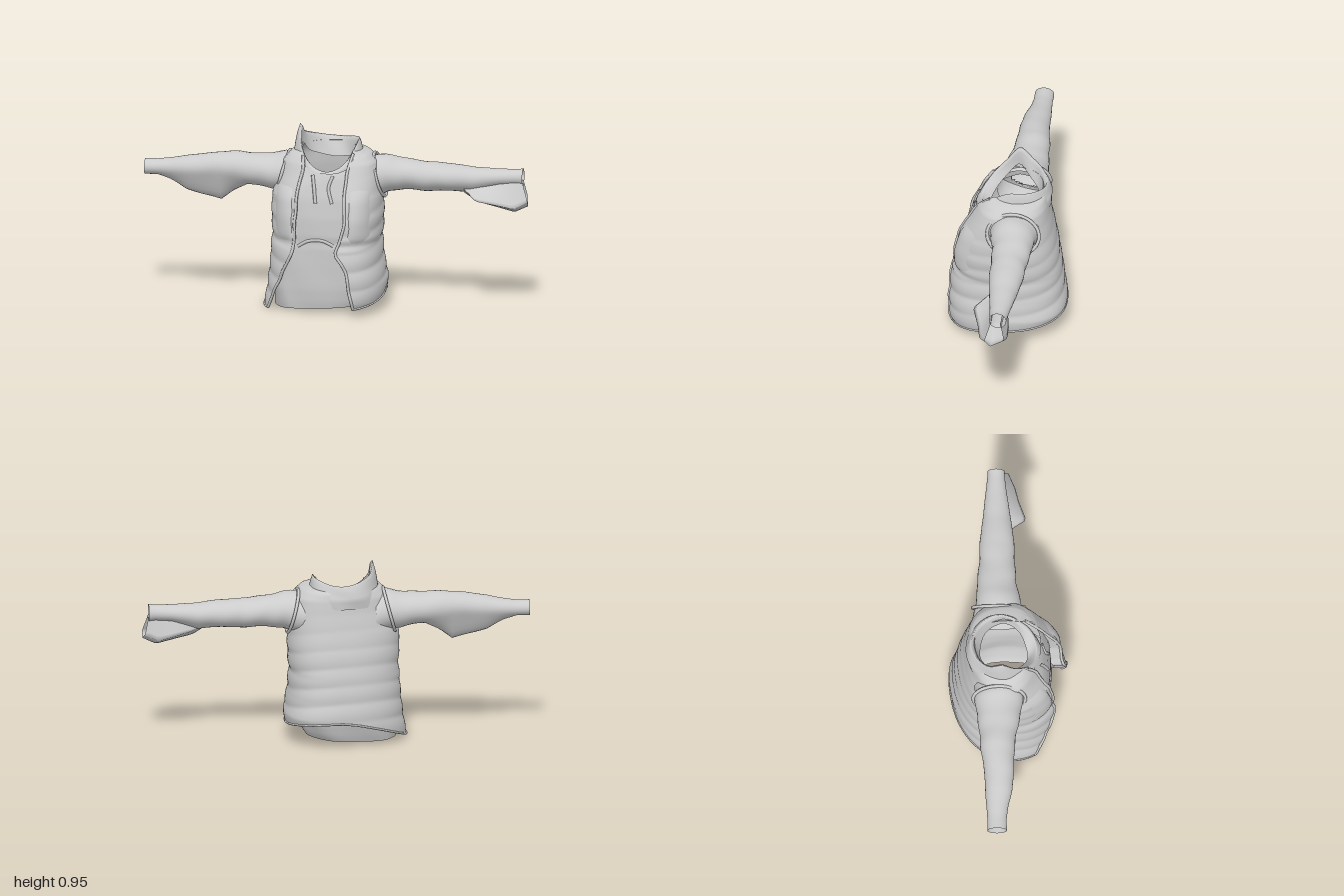
import * as THREE from 'three';
import { mergeVertices } from 'three/addons/utils/BufferGeometryUtils.js';

const mat = new THREE.MeshStandardMaterial({ color: 0xcccccc, side: THREE.DoubleSide });
const TAU = Math.PI * 2, EXP = 2.4;
const lerp = THREE.MathUtils.lerp;
const bump = (t, c, w) => Math.exp(-(((t - c) / w) ** 2));

// Linear lookup in a table whose rows begin with the key
function sample(table, key) {
  const last = table.length - 1;
  if (key <= table[0][0]) return table[0].slice(1);
  for (let i = 0; i < last; i++) {
    const a = table[i], b = table[i + 1];
    if (key <= b[0]) return a.slice(1).map((v, k) => lerp(v, b[k + 1], (key - a[0]) / (b[0] - a[0])));
  }
  return table[last].slice(1);
}

// Grid surface from a rule fn(u, v) -> [x, y, z]; cells whose centre passes "hole" are left out
function surface(name, fn, nu, nv, hole = () => false) {
  const pos = [], idx = [];
  for (let j = 0; j <= nv; j++) for (let i = 0; i <= nu; i++) pos.push(...fn(i / nu, j / nv));
  for (let j = 0; j < nv; j++) for (let i = 0; i < nu; i++) {
    if (hole(...fn((i + 0.5) / nu, (j + 0.5) / nv))) continue;
    const a = j * (nu + 1) + i, b = a + nu + 1;
    idx.push(a, a + 1, b, a + 1, b + 1, b);
  }
  let g = new THREE.BufferGeometry();
  g.setAttribute('position', new THREE.Float32BufferAttribute(pos, 3));
  g.setIndex(idx);
  g = mergeVertices(g, 1e-4);
  g.computeVertexNormals();
  const m = new THREE.Mesh(g, mat);
  m.name = name;
  return m;
}

function cord(name, points, r, closed = false) {
  const curve = new THREE.CatmullRomCurve3(points.map(p => new THREE.Vector3(...p)), closed);
  const m = new THREE.Mesh(new THREE.TubeGeometry(curve, 40, r, 6, closed), mat);
  m.name = name;
  return m;
}

// Body outline by height: y, right, left, back, front
const body = [
  [0.0, -0.37, 0.24, -0.275, 0.295], [0.06, -0.358, 0.262, -0.29, 0.305], [0.15, -0.345, 0.268, -0.3, 0.305],
  [0.25, -0.335, 0.25, -0.285, 0.3], [0.34, -0.33, 0.243, -0.275, 0.29], [0.37, -0.325, 0.24, -0.27, 0.27],
  [0.4, -0.325, 0.245, -0.265, 0.28], [0.5, -0.33, 0.25, -0.25, 0.27], [0.6, -0.325, 0.245, -0.23, 0.245],
  [0.7, -0.29, 0.235, -0.21, 0.19], [0.77, -0.27, 0.22, -0.2, 0.155], [0.81, -0.23, 0.18, -0.19, 0.125],
  [0.83, -0.17, 0.1, -0.17, 0.11],
];

// Point on the body; angle 0 is the front, a quarter turn is its left
function bodyPoint(a, y, scale = 1) {
  const [x0, x1, z0, z1] = sample(body, y);
  const s = Math.sin(a), c = Math.cos(a), p = 2 / EXP;
  const x = (x0 + x1) / 2 + (x1 - x0) / 2 * scale * Math.sign(s) * Math.abs(s) ** p;
  const z = (c > 0 ? z1 : -z0) * scale * Math.sign(c) * Math.abs(c) ** p;
  return [x, y, z * (1 + 0.5 * (x + 0.03))];
}

function angleAt(x, y) {
  const [x0, x1] = sample(body, y);
  const s = THREE.MathUtils.clamp((2 * x - x0 - x1) / (x1 - x0), -0.97, 0.97);
  return Math.asin(Math.sign(s) * Math.abs(s) ** (EXP / 2));
}

// The sweater follows the body but is flatter in front
function sweaterPoint(a, y, extra = 0) {
  const k = sample([[0, 0.74], [0.04, 0.78], [0.12, 0.84], [0.33, 0.9], [0.38, 0.94], [0.5, 0.96], [0.82, 0.96]], y)[0];
  const p = bodyPoint(a, y, k + extra);
  if (p[2] > 0.18) p[2] = 0.18 + (p[2] - 0.18) * 0.5;
  return p;
}

// Arm openings in the vest and sweater
const armOpening = (x, y, z) => (x > 0.15 || x < -0.19) && Math.hypot(y - 0.685, z + 0.05) < 0.08;

// Front opening of the vest: y, right edge, left edge
const opening = [
  [0, -0.34, 0.13], [0.12, -0.295, 0.11], [0.25, -0.24, 0.09], [0.36, -0.19, 0.03],
  [0.39, -0.185, 0.05], [0.5, -0.185, 0.08], [0.65, -0.17, 0.075], [0.76, -0.15, 0.08], [0.83, -0.12, 0.07],
];

function vestPoint(u, v) {
  const guess = lerp(0.03, 0.83, v);
  const [r, l] = sample(opening, guess);
  const a = lerp(angleAt(l, guess), TAU + angleAt(r, guess), u);
  const c = Math.cos(a), s = Math.sin(a);
  // the hem rises to the back and hangs low on the right
  const hem = Math.max(0.004, 0.085 - 0.055 * c - 0.08 * Math.max(0, -s));
  const y = lerp(hem, 0.83 - 0.05 * Math.max(0, c) ** 4, v);
  // tilted quilted rows that fade out toward the shoulders
  const quilt = 0.02 * (Math.abs(Math.sin((y + 0.05 * c) * Math.PI / 0.095 + 0.5 * s)) - 0.6);
  return bodyPoint(a, y, 1 + quilt * THREE.MathUtils.clamp((0.75 - y) * 3, 0, 1));
}

// Sleeve rings: x, low y, high y, back z, front z, sag of the loose cloth below
const leftRings = [
  [0.15, 0.55, 0.785, -0.175, 0.09, 0], [0.2, 0.57, 0.79, -0.175, 0.085, 0], [0.28, 0.6, 0.785, -0.16, 0.065, 0],
  [0.36, 0.615, 0.77, -0.155, 0.045, 0.005], [0.48, 0.61, 0.755, -0.145, 0.04, 0.005], [0.6, 0.615, 0.75, -0.14, 0.035, 0.005],
  [0.72, 0.62, 0.735, -0.125, 0.02, 0.02], [0.85, 0.645, 0.73, -0.11, 0.0, 0], [0.94, 0.65, 0.73, -0.1, -0.01, 0],
  [0.97, 0.645, 0.735, -0.1, -0.01, 0],
];
const rightRings = [
  [0.2, 0.55, 0.785, -0.175, 0.09, 0], [0.27, 0.58, 0.79, -0.175, 0.08, 0], [0.36, 0.6, 0.775, -0.16, 0.065, 0],
  [0.46, 0.615, 0.775, -0.15, 0.045, 0], [0.54, 0.62, 0.78, -0.145, 0.035, 0.05], [0.6, 0.63, 0.775, -0.135, 0.03, 0.105],
  [0.68, 0.63, 0.765, -0.125, 0.03, 0.085], [0.78, 0.63, 0.75, -0.12, 0.02, 0.06], [0.86, 0.64, 0.735, -0.115, 0.0, 0.02],
  [0.93, 0.645, 0.725, -0.11, -0.01, 0], [1.0, 0.645, 0.725, -0.11, -0.01, 0],
];

function sleeve(name, rings, side) {
  const x0 = rings[0][0], x1 = rings[rings.length - 1][0];
  return surface(name, (u, v) => {
    const x = lerp(x0, x1, v), a = -side * u * TAU;
    const [lo, hi, zb, zf, sag] = sample(rings, x);
    // slanting wrinkles in the cloth
    const w = 1 + (0.025 * Math.sin(x * 48 + 2 * Math.sin(a)) + 0.02 * Math.sin(x * 29 + 3 * Math.cos(a))) * (1 - v);
    const drop = sag * Math.max(0, -Math.sin(a)) ** 4;
    return [side * x, (lo + hi) / 2 + (hi - lo) / 2 * w * Math.sin(a) - drop,
      (zb + zf) / 2 + (zf - zb) / 2 * w * Math.cos(a)];
  }, 28, 48);
}

// Soft shoulder edge of the vest around each sleeve
function armhole(name, x, side) {
  return cord(name, Array.from({ length: 24 }, (_, i) => {
    const a = i / 24 * TAU, s = Math.sin(a);
    return [side * (x - 0.03 * s), 0.685 + 0.11 * s, -0.045 + 0.135 * Math.cos(a)];
  }), 0.009, true);
}

// Hood: rises outside to a rim that dips at the front, then folds down into the neck
function hoodPoint(u, v) {
  const a = u * TAU, s = Math.sin(a), c = Math.cos(a), f = Math.max(0, c), b = Math.max(0, -c);
  const rim = 0.85 + 0.035 * s * s - 0.01 * s - 0.115 * f ** 1.4 + 0.05 * bump(u, 0.74, 0.045);
  const base = 0.74 - 0.06 * f;
  const rows = [[0, base - 0.01, 1.35 - 0.2 * f - 0.2 * b], [0.2, lerp(base, rim, 0.35), 1.18 - 0.04 * f],
    [0.45, lerp(base, rim, 0.8), 1.07], [0.55, rim, 1], [0.65, rim - 0.012, 0.93],
    [1, rim - 0.04 - 0.06 * (1 - f), 0.92 - 0.2 * f - 0.2 * b]];
  const [y, k] = sample(rows, v);
  const r = k + 0.015 * Math.sin(5 * a + v * 9);
  return [-0.035 + 0.155 * r * s, y, -0.025 + (c > 0 ? 0.175 : 0.165) * r * c];
}

export function createModel() {
  const g = new THREE.Group();
  g.name = 'layeredJacket';

  // Inner sweater with an open hem and a low front neckline
  g.add(surface('innerSweater', (u, v) => {
    const a = u * TAU, y = lerp(0.02 + 0.015 * Math.sin(a), 0.82 - 0.09 * Math.max(0, Math.cos(a)) ** 4, v);
    const p = sweaterPoint(a, y, 0.008 * Math.sin(7 * a + y * 18));
    p[0] -= 0.02 * (1 - v);
    return p;
  }, 64, 48, armOpening));

  // Sweater front pocket seam
  const onSweater = (x, y) => sweaterPoint(angleAt(x, y), y);
  g.add(cord('pocketSeam', [[-0.18, 0.35], [-0.12, 0.38], [-0.04, 0.385], [0.02, 0.36]].map(p => onSweater(...p)), 0.009));

  // Quilted vest, open at the front
  g.add(surface('quiltedVest', vestPoint, 80, 80, armOpening));
  const edge = u => Array.from({ length: 16 }, (_, i) => vestPoint(u, i / 15));
  g.add(cord('vestLeftEdge', edge(0), 0.008), cord('vestRightEdge', edge(1), 0.008));
  g.add(cord('vestHem', Array.from({ length: 25 }, (_, i) => vestPoint(i / 24, 0)), 0.006));

  // The vest fronts fold back toward the sweater along the opening
  for (const [name, u] of [['leftFacing', 0], ['rightFacing', 1]]) {
    g.add(surface(name, (s, v) => {
      const [x, y, z] = vestPoint(u, v);
      return [x, y, z - 0.06 * s];
    }, 4, 40));
  }

  // Chest flaps lying on both vest fronts
  for (const [name, x0, x1] of [['leftChestFlap', 0.1, 0.21], ['rightChestFlap', -0.3, -0.2]]) {
    g.add(surface(name, (u, v) => {
      const y = lerp(0.37, 0.66, v), puff = Math.sin(u * Math.PI) * Math.sin(v * Math.PI);
      const p = bodyPoint(angleAt(lerp(x0, x1, u), y), y, 0.99);
      p[2] += 0.02 * Math.sqrt(Math.max(0, puff));
      return p;
    }, 10, 14));
  }

  // Sleeves and shoulder edges
  g.add(sleeve('leftSleeve', leftRings, 1), sleeve('rightSleeve', rightRings, -1));
  g.add(armhole('leftArmhole', 0.225, 1), armhole('rightArmhole', 0.275, -1));

  // Loose cuff hanging under the left sleeve: x, top y, low y, front z, back z
  const cuff = [[0.67, 0.63, 0.605, 0.02, -0.06], [0.74, 0.65, 0.56, 0.1, -0.08], [0.86, 0.665, 0.53, 0.06, -0.1],
    [0.93, 0.675, 0.512, 0.045, -0.1], [1.0, 0.67, 0.545, 0.01, -0.09]];
  g.add(surface('looseCuff', (u, v) => {
    const x = lerp(0.67, 1, v);
    const [top, low, zf, zb] = sample(cuff, x);
    const [y, z, dx] = sample([[0, top, -0.02, 0.03], [0.35, low + 0.03, zf, 0], [0.6, low, -0.02, 0],
      [0.75, low + 0.035, zb, 0.01], [1, top, -0.07, 0.03]], u);
    return [x - dx * v, y, z];
  }, 20, 16));

  // Hood and drawstrings
  g.add(surface('hood', hoodPoint, 56, 20));
  for (const [name, xs] of [['rightDrawstring', [-0.1, -0.09, -0.08]], ['leftDrawstring', [0.01, -0.01, 0.01]]]) {
    g.add(cord(name, xs.map((x, i) => onSweater(x, [0.72, 0.66, 0.58][i])), 0.009));
  }
  return g;
}
